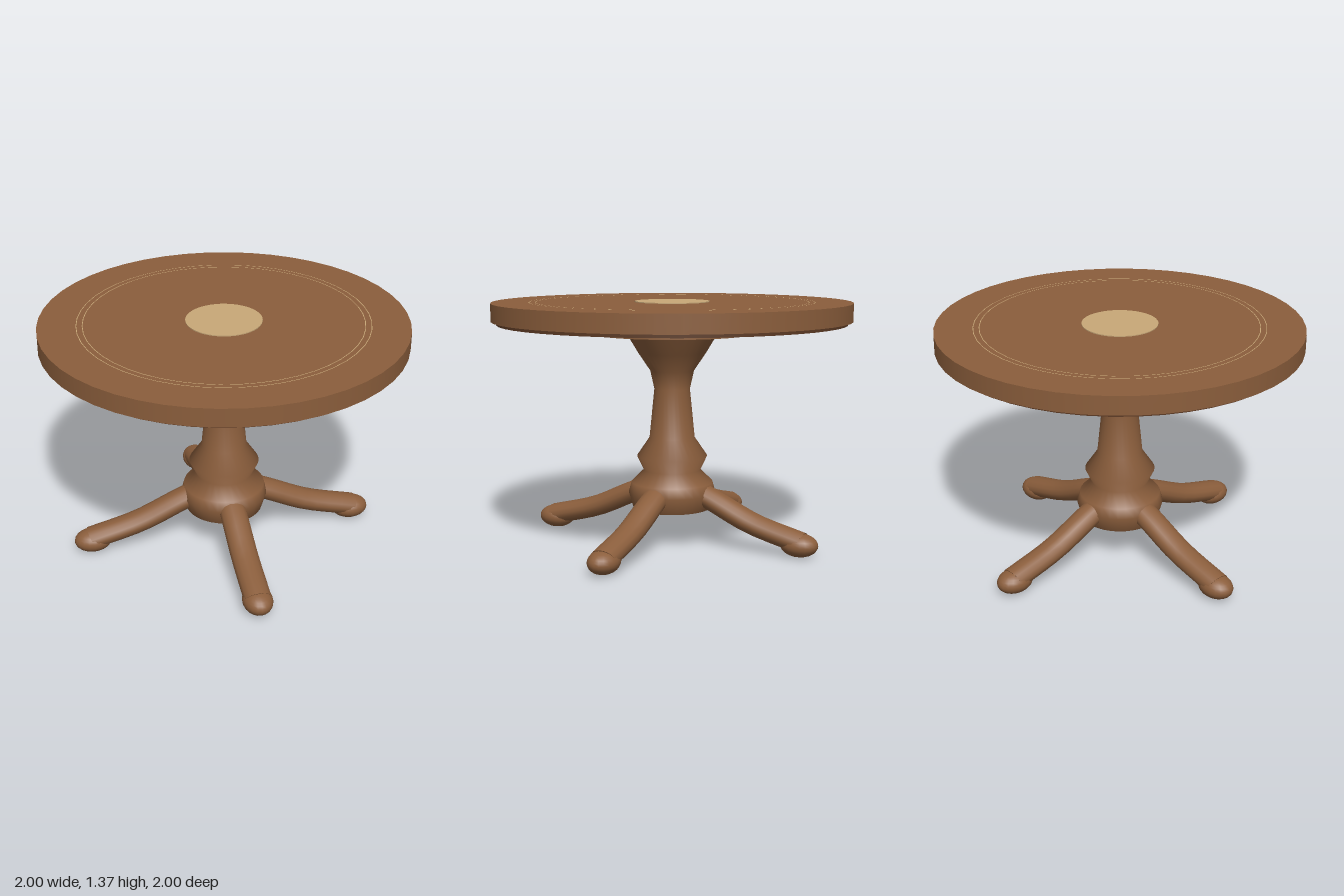
import * as THREE from 'three';

export function createModel() {
  const table = new THREE.Group();
  table.name = 'pedestalTable';

  const paint = (name, color) => {
    const m = new THREE.MeshStandardMaterial({ color });
    m.name = name;
    return m;
  };
  const wood = paint('wood', 0x8b5e3c);
  const darkWood = paint('darkWood', 0x5c3a24);
  const paleInlay = paint('paleInlay', 0xc8a878);

  const add = (parent, name, geometry, material) => {
    const mesh = new THREE.Mesh(geometry, material);
    mesh.name = name;
    parent.add(mesh);
    return mesh;
  };
  const disc = (name, radius, bottom, top, material) => {
    const mesh = add(table, name, new THREE.CylinderGeometry(radius, radius, top - bottom, 48), material);
    mesh.position.y = (top + bottom) / 2;
  };

  // Top, its underside layer and the mounting plate
  disc('tableTop', 1, 1.262, 1.362, wood);
  disc('topUnderside', 0.97, 1.243, 1.262, darkWood);
  disc('mountingPlate', 0.465, 1.19, 1.243, wood);

  // Inlays: central medallion and two fine rings
  disc('centreInlay', 0.208, 1.36, 1.367, paleInlay);
  for (const radius of [0.757, 0.79]) {
    const ring = add(table, 'inlayRing', new THREE.RingGeometry(radius - 0.002, radius + 0.002, 48), paleInlay);
    ring.rotation.x = -Math.PI / 2;
    ring.position.y = 1.3635;
  }

  // Turned column
  const profile = [
    [0, 0.2], [0.2, 0.2], [0.22, 0.2], [0.246, 0.29], [0.23, 0.347], [0.16, 0.417],
    [0.198, 0.497], [0.128, 0.6], [0.1, 0.877], [0.123, 0.98], [0.19, 1.08], [0.256, 1.19],
  ].map(([x, y]) => new THREE.Vector2(x, y));
  add(table, 'column', new THREE.LatheGeometry(profile, 32), wood);

  // Four splayed legs, oval in section, with rounded feet
  const flatten = 0.76;
  const path = new THREE.CatmullRomCurve3([
    [0.1, 0.325], [0.25, 0.265], [0.495, 0.155], [0.78, 0.078],
  ].map(([x, y]) => new THREE.Vector3(x, y / flatten, 0)));
  const legGeometry = new THREE.TubeGeometry(path, 9, 0.077, 14).scale(1, flatten, 1);
  const capGeometry = new THREE.CircleGeometry(0.077, 14).rotateY(Math.PI / 2)
    .rotateZ(-0.33).scale(1, flatten, 1).translate(0.78, 0.078, 0);
  const footGeometry = new THREE.SphereGeometry(1, 20, 14).scale(0.107, 0.065, 0.083);

  for (let i = 0; i < 4; i++) {
    const leg = new THREE.Group();
    leg.name = 'leg';
    leg.rotation.y = (i * Math.PI) / 2;
    add(leg, 'legShaft', legGeometry, wood);
    add(leg, 'legEnd', capGeometry, wood);
    add(leg, 'foot', footGeometry, wood).position.set(0.773, 0.065, 0);
    table.add(leg);
  }
  return table;
}
